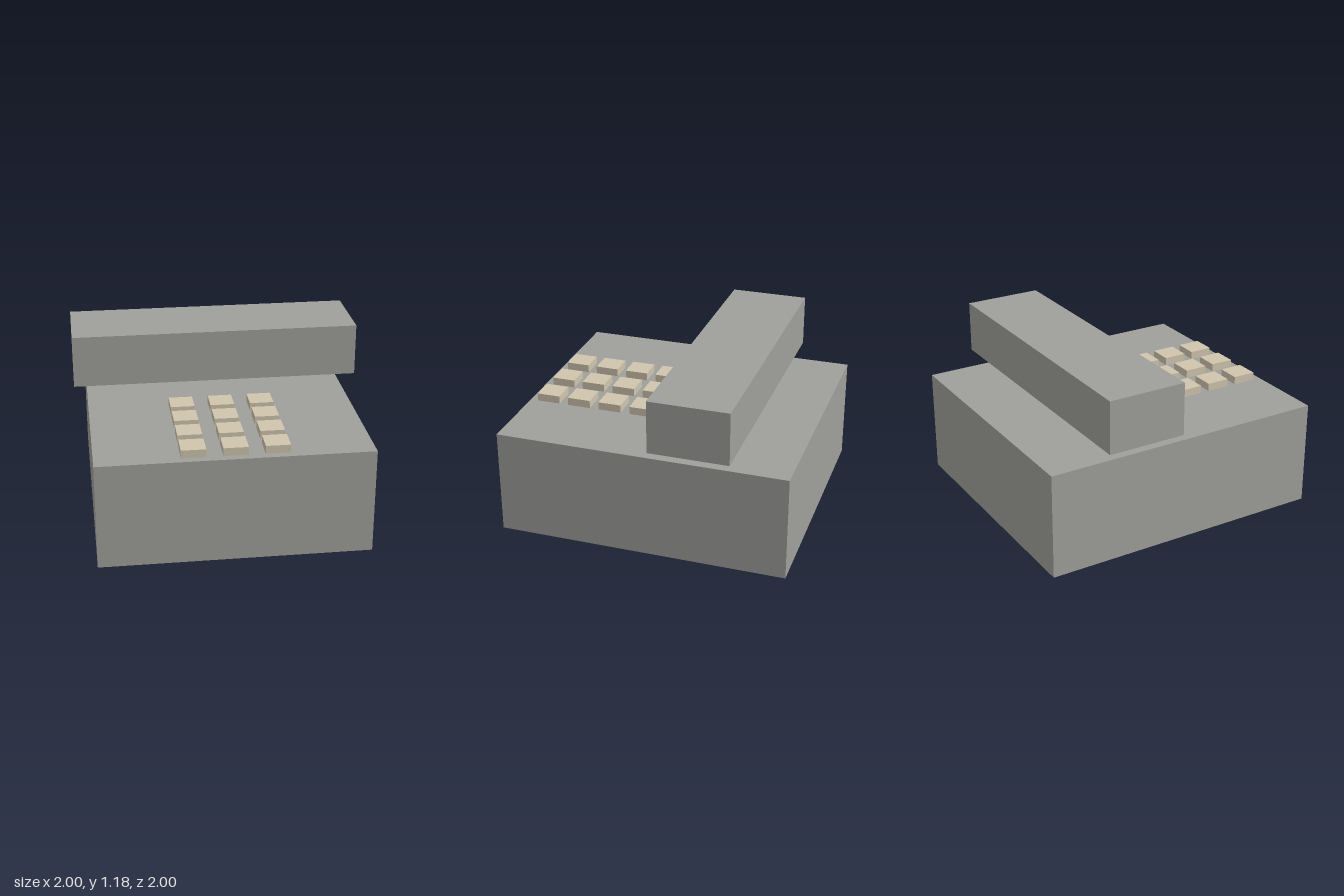
import * as THREE from 'three';

export function createModel() {
  const phone = new THREE.Group();
  phone.name = 'deskPhone';

  const darkGrey = new THREE.MeshStandardMaterial({ color: 0x9fa09b });
  const tan = new THREE.MeshStandardMaterial({ color: 0xd0c5ae });
  const U = 1 / 11; // module size: the base is 22 modules deep

  // Box with sizes in modules, placed by the centre of its underside
  function addBox(parent, name, material, [w, h, d], [x, y, z]) {
    const mesh = new THREE.Mesh(new THREE.BoxGeometry(w * U, h * U, d * U), material);
    mesh.position.set(x * U, (y + h / 2) * U, z * U);
    mesh.name = name;
    parent.add(mesh);
  }

  // Base and the handset floating above its rear half
  addBox(phone, 'base', darkGrey, [20, 8, 22], [0, 0, 0]);
  addBox(phone, 'handset', darkGrey, [22, 4, 6], [0, 9, -4]);

  // Keypad: four rows of three keys
  const keypad = new THREE.Group();
  keypad.name = 'keypad';
  for (let row = 0; row < 4; row++) {
    for (let col = 0; col < 3; col++) {
      addBox(keypad, `key${row * 3 + col + 1}`, tan, [1.8, 0.6, 1.8], [(col - 1) * 3, 8, 2 + row * 2.5]);
    }
  }
  phone.add(keypad);

  return phone;
}
